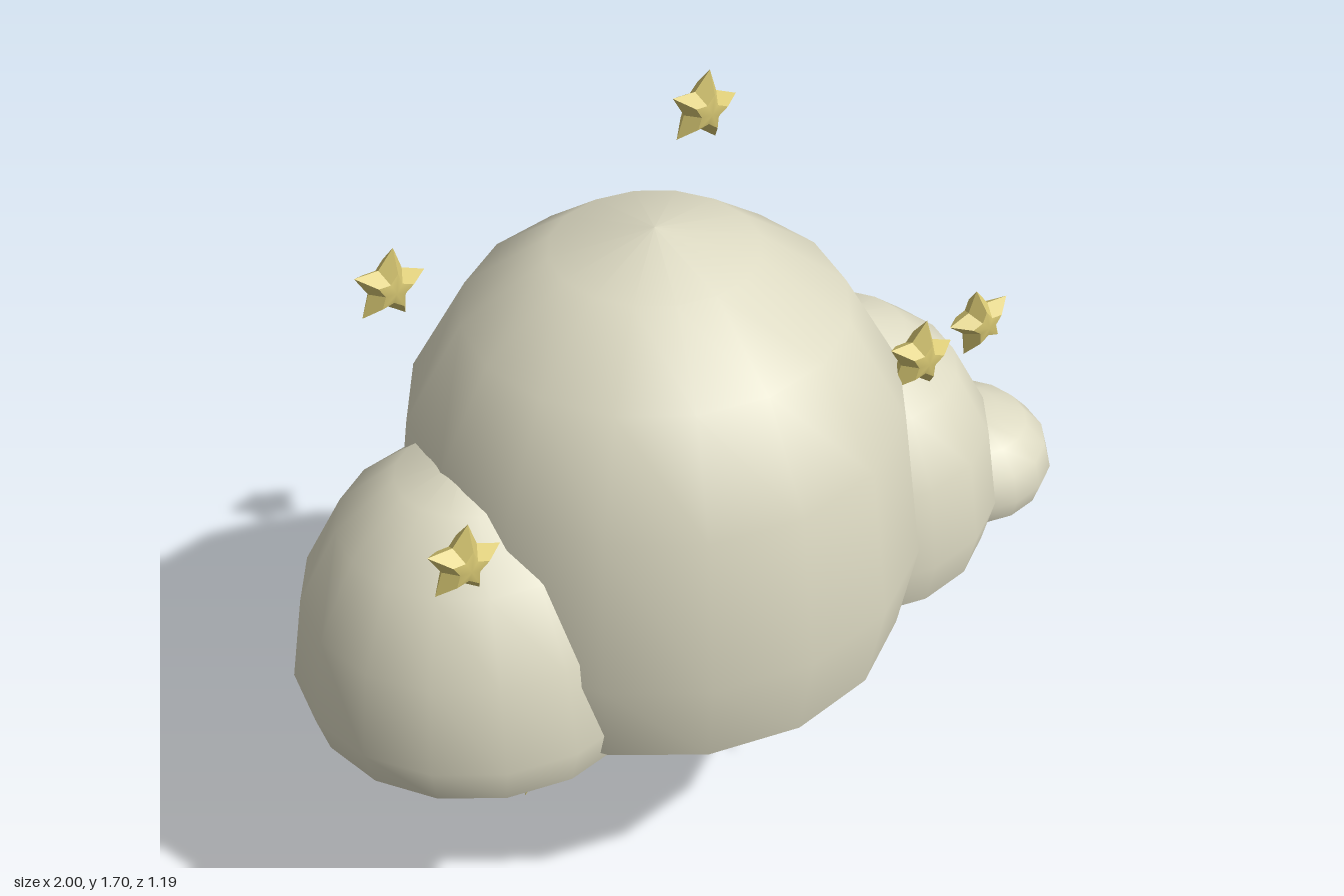
import * as THREE from 'three';
import { mergeGeometries, toCreasedNormals } from 'three/addons/utils/BufferGeometryUtils.js';

// Rounded lobe with a shallow, crisp-edged underside
function lobeGeometry({ r, cy, top, rim, bottom, power }) {
  const upper = [new THREE.Vector2(r * 0.93, rim)];
  for (let i = 0; i <= 4; i++) {
    const a = (i * Math.PI) / 8;
    const radius = i === 4 ? 0 : r * Math.cos(a);
    upper.push(new THREE.Vector2(radius, cy + (top - cy) * Math.pow(Math.sin(a), power)));
  }
  const under = [
    new THREE.Vector2(0, bottom),
    new THREE.Vector2(r * 0.71, bottom + 0.012),
    new THREE.Vector2(r * 0.93, rim),
  ];
  return mergeGeometries([new THREE.LatheGeometry(upper, 16), new THREE.LatheGeometry(under, 16)]);
}

// Puffy five-pointed star: thin outline, raised inner ring, domed middle
function starGeometry(r) {
  const pos = [], index = [];
  const ring = (scale, z) => {
    for (let i = 0; i < 10; i++) {
      const a = Math.PI / 2 + (i * Math.PI) / 5;
      const d = r * scale * (i % 2 ? 0.54 : 1);
      pos.push(d * Math.cos(a), d * Math.sin(a), z);
    }
  };
  ring(1, 0);
  ring(0.5, 0.034);
  ring(0.5, -0.034);
  pos.push(0, 0, 0.04, 0, 0, -0.04);
  for (let i = 0; i < 10; i++) {
    const j = (i + 1) % 10;
    index.push(i, j, 10 + j, i, 10 + j, 10 + i, 10 + i, 10 + j, 30);
    index.push(j, i, 20 + j, 20 + j, i, 20 + i, 20 + j, 20 + i, 31);
  }
  const g = new THREE.BufferGeometry();
  g.setAttribute('position', new THREE.Float32BufferAttribute(pos, 3));
  g.setIndex(index);
  return toCreasedNormals(g, 0.7);
}

// Zigzag bolt of unit height whose thickness narrows to the tip
function boltGeometry() {
  const outline = [[0.24, 0], [0.69, 0.58], [0.45, 0.7], [0.74, 1], [0.31, 1], [0, 0.62], [0.41, 0.45]];
  const shape = new THREE.Shape(outline.map(([x, y]) => new THREE.Vector2(x, y)));
  const g = new THREE.ExtrudeGeometry(shape, { depth: 1, bevelEnabled: false });
  const p = g.attributes.position;
  for (let i = 0; i < p.count; i++) {
    const half = 0.1 * Math.min(1, Math.max(0.01, p.getY(i) / 0.65));
    p.setZ(i, (p.getZ(i) > 0.5 ? 1 : -1) * half);
  }
  g.computeVertexNormals();
  return g;
}

export function createModel() {
  const model = new THREE.Group();
  const cloudMat = new THREE.MeshStandardMaterial({ color: 0xdcd9c2 });
  cloudMat.name = 'cloudCream';
  const goldMat = new THREE.MeshStandardMaterial({ color: 0xd8c873 });
  goldMat.name = 'paleGold';

  const add = (name, geometry, material, x, y, z) => {
    const mesh = new THREE.Mesh(geometry, material);
    mesh.name = name;
    mesh.position.set(x, y, z);
    model.add(mesh);
    return mesh;
  };

  // Cloud lobes
  const lobes = [
    { name: 'mainLobe', x: -0.11, r: 0.595, cy: 0.75, top: 1.535, rim: 0.535, bottom: 0.465, power: 0.8 },
    { name: 'rightLobe', x: -0.59, r: 0.41, cy: 0.6, top: 1.14, rim: 0.505, bottom: 0.47, power: 1 },
    { name: 'leftLobe', x: 0.4, r: 0.378, cy: 0.63, top: 1.12, rim: 0.52, bottom: 0.475, power: 0.92 },
    { name: 'smallLobe', x: 0.775, r: 0.225, cy: 0.555, top: 0.72, rim: 0.505, bottom: 0.48, power: 0.95 },
  ];
  for (const l of lobes) add(l.name, lobeGeometry(l), cloudMat, l.x, 0, 0);

  // Stars: x, y, z, tilt in degrees
  const star = starGeometry(0.09);
  const stars = [
    [0.183, 1.608, -0.25, -13],
    [-0.58, 1.39, -0.32, -12],
    [-0.762, 1.113, 0.27, -12],
    [0.403, 1.157, 0.27, -12],
    [0.81, 0.943, 0, 9],
  ];
  stars.forEach(([x, y, z, tilt], i) => {
    add('star' + (i + 1), star, goldMat, x, y, z).rotation.z = THREE.MathUtils.degToRad(tilt);
  });

  // Lightning bolts: left edge x, tip y, z, height
  const bolt = boltGeometry();
  const bolts = [
    [-0.27, 0.08, 0, 0.34],
    [-0.59, 0.185, 0.08, 0.215],
    [0.235, 0.16, -0.075, 0.28],
    [-0.375, 0, -0.127, 0.15],
    [0.038, 0.062, 0.114, 0.183],
  ];
  bolts.forEach(([x, y, z, h], i) => {
    add('lightningBolt' + (i + 1), bolt, goldMat, x, y, z).scale.setScalar(h);
  });

  return model;
}
